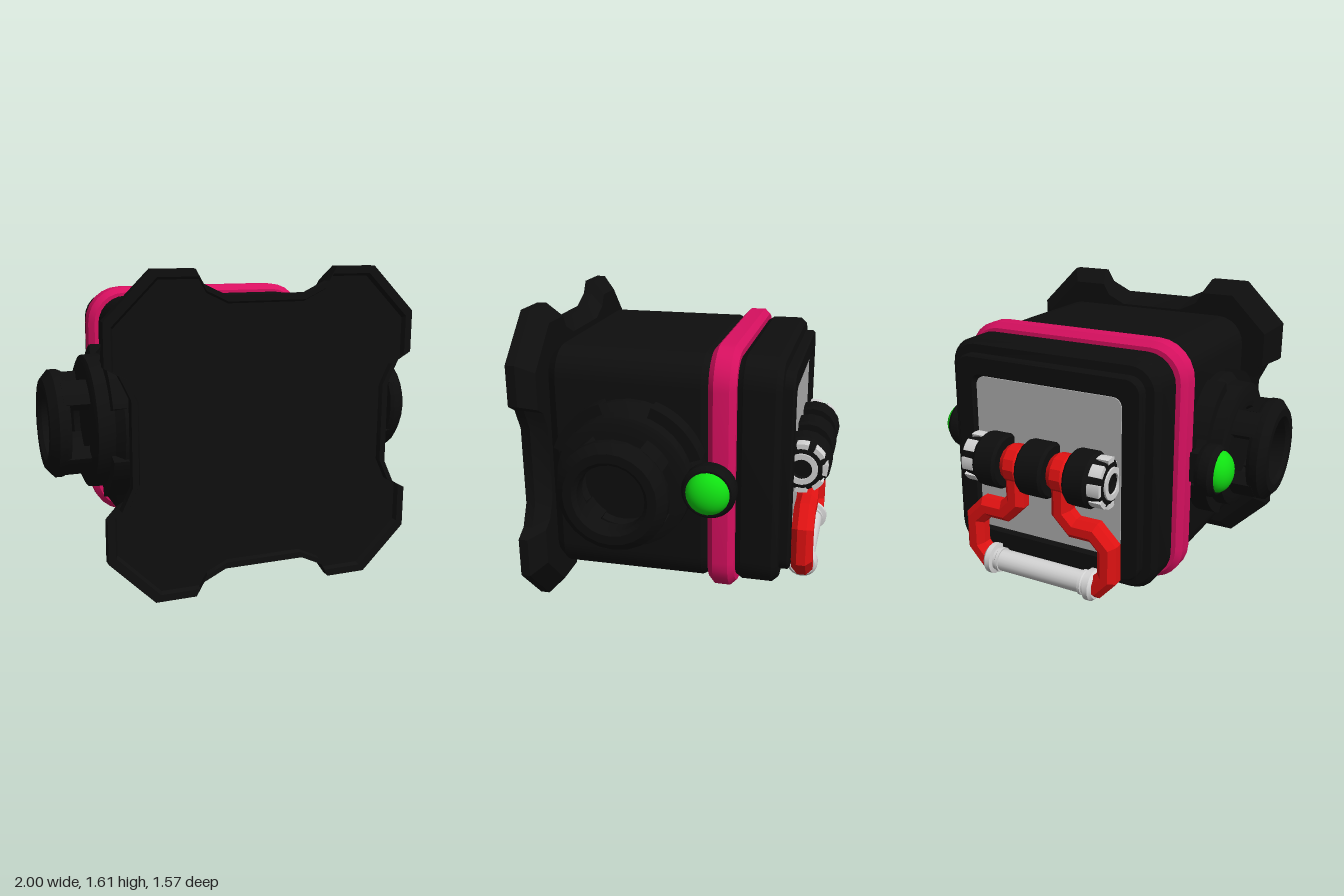
import * as THREE from 'three';
import { toCreasedNormals } from 'three/addons/utils/BufferGeometryUtils.js';

const CY = 0.807; // height of the body axis
const mat = (name, color, side = THREE.FrontSide) => {
  const m = new THREE.MeshStandardMaterial({ color, side });
  m.name = name;
  return m;
};
const V2 = (x, y) => new THREE.Vector2(x, y);
const V3 = (x, y, z) => new THREE.Vector3(x, y, z);

// Skin through equal-length rings, with caps triangulated from a 2D outline
function loft(rings, outline) {
  const n = outline.length, pos = [], idx = [];
  rings.forEach(r => r.forEach(p => pos.push(p.x, p.y, p.z)));
  for (let i = 0; i < rings.length - 1; i++) {
    for (let j = 0; j < n; j++) {
      const a = i * n + j, b = i * n + (j + 1) % n;
      idx.push(a, b, b + n, a, b + n, a + n);
    }
  }
  const last = (rings.length - 1) * n;
  for (const [a, b, c] of THREE.ShapeUtils.triangulateShape(outline.slice(), [])) {
    idx.push(a, c, b, last + a, last + b, last + c);
  }
  const g = new THREE.BufferGeometry();
  g.setAttribute('position', new THREE.Float32BufferAttribute(pos, 3));
  g.setIndex(idx);
  return toCreasedNormals(g, 0.45);
}

// Rounded square outline, counter-clockwise
function roundSquare(half, r, steps = 6) {
  const pts = [];
  for (let q = 0; q < 4; q++) {
    const cx = (half - r) * (q === 0 || q === 3 ? 1 : -1);
    const cy = (half - r) * (q < 2 ? 1 : -1);
    for (let i = 0; i <= steps; i++) {
      const a = (q + i / steps) * Math.PI / 2;
      pts.push(V2(cx + r * Math.cos(a), cy + r * Math.sin(a)));
    }
  }
  return pts;
}

// Rounded square stack: profile of [half width, z], from back to front
function squareStack(profile, inner = 0.46) {
  const rings = profile.map(([h, z]) =>
    roundSquare(h, Math.max(0.05, h - inner)).map(p => V3(p.x, p.y, z)));
  return loft(rings, roundSquare(0.6, 0.14));
}

const lathe = (pts, segs = 32) =>
  toCreasedNormals(new THREE.LatheGeometry(pts.map(p => V2(...p)), segs), 0.5);

// Arc block around the y axis, from y0 to y1
function arcBlock(r0, r1, mid, halfAngle, y0, y1) {
  const s = new THREE.Shape();
  s.absarc(0, 0, r1, mid - halfAngle, mid + halfAngle, false);
  s.absarc(0, 0, r0, mid + halfAngle, mid - halfAngle, true);
  const g = new THREE.ExtrudeGeometry(s, { depth: y1 - y0, bevelEnabled: false, curveSegments: 8 });
  return g.rotateX(-Math.PI / 2).translate(0, y0, 0);
}

// Mitred sweep of an octagon along a path of [x, y] at constant z
function sweep(path, z, w, d) {
  const oct = [];
  for (let i = 0; i < 8; i++) {
    const a = (i + 0.5) * Math.PI / 4, k = 1 / Math.cos(Math.PI / 8);
    oct.push(V2(Math.cos(a) * w * k, Math.sin(a) * d * k));
  }
  const pts = path.map(p => V2(...p));
  const dir = i => pts[i + 1].clone().sub(pts[i]).normalize();
  const rings = pts.map((p, i) => {
    const a = dir(Math.max(0, i - 1)), b = dir(Math.min(pts.length - 2, i));
    const t = a.clone().add(b).normalize(), k = 1 / t.dot(a);
    return oct.map(o => V3(p.x - t.y * o.x * k, p.y + t.x * o.x * k, z + o.y));
  });
  return loft(rings, oct);
}

export function createModel() {
  const black = mat('black', 0x0e0e0e);
  const pink = mat('pink', 0xd81060);
  const red = mat('red', 0xe01212);
  const green = mat('green', 0x10e012);
  const silver = mat('light grey', 0xd4d4d4);
  const grey = mat('panel grey', 0xb0b0b0);

  const root = new THREE.Group();
  const add = (parent, name, geo, m, x = 0, y = 0, z = 0) => {
    const mesh = new THREE.Mesh(geo, m);
    mesh.name = name;
    mesh.position.set(x, y, z);
    parent.add(mesh);
    return mesh;
  };

  // Main case, lid, band and recessed back panel
  add(root, 'case', squareStack([
    [0.59, -0.2], [0.6, -0.18], [0.617, -0.15], [0.617, 0.61], [0.57, 0.665]]), black, 0, CY);
  add(root, 'lid', squareStack([
    [0.43, -0.575], [0.445, -0.605], [0.535, -0.605], [0.545, -0.595], [0.545, -0.553],
    [0.59, -0.55], [0.617, -0.52], [0.617, -0.36], [0.6, -0.335], [0.59, -0.3]]), black, 0, CY);
  add(root, 'band', squareStack([
    [0.59, -0.33], [0.63, -0.33], [0.66, -0.3], [0.66, -0.22], [0.63, -0.19], [0.59, -0.19]]), pink, 0, CY);
  add(root, 'backPanel', squareStack([[0.43, -0.582], [0.43, -0.574]], 0.38), grey, 0, CY);

  // Notched front plate, one quarter turned four times
  const quarter = [[0.68, 0.21], [0.735, 0.325], [0.805, 0.365], [0.805, 0.575],
    [0.575, 0.805], [0.365, 0.805], [0.325, 0.735], [0.21, 0.68]];
  const outline = [];
  for (let q = 0; q < 4; q++) {
    quarter.forEach(p => outline.push(V2(...p).rotateAround(V2(0, 0), q * Math.PI / 2)));
  }
  const plateRings = [[0.91, 0.66], [1, 0.735], [1, 0.785], [0.955, 0.785], [0.94, 0.765]]
    .map(([s, z]) => outline.map(p => V3(p.x * s, p.y * s, z)));
  add(root, 'frontPlate', loft(plateRings, outline), black, 0, CY);

  // Side hubs and lamps, built along y and turned outwards
  for (const s of [1, -1]) {
    const hub = new THREE.Group();
    hub.name = s > 0 ? 'leftHub' : 'rightHub';
    hub.position.set(0, CY, 0.21);
    hub.rotation.z = -s * Math.PI / 2;
    root.add(hub);
    add(hub, 'hubBase', lathe([[0, 0.58], [0.39, 0.58], [0.39, 0.66], [0.35, 0.7], [0.345, 0.785],
      [0.31, 0.8], [0.22, 0.8], [0.2, 0.77], [0, 0.77]]), black);
    add(hub, 'hubRing', lathe([[0.17, 0.9], [0.27, 0.9], [0.28, 0.92], [0.28, 0.96], [0.235, 1],
      [0.19, 1], [0.17, 0.98], [0.17, 0.9]], 24), black);
    for (let i = 0; i < 4; i++) {
      const a = Math.PI / 4 + i * Math.PI / 2;
      add(hub, 'hubProng', arcBlock(0.19, 0.28, a, 0.27, 0.76, 0.93), black);
      add(hub, 'hubRim', arcBlock(0.33, 0.405, a, 0.45, 0.6, 0.72), black);
    }
    add(hub, 'lampArm', new THREE.BoxGeometry(0.16, 0.11, 0.24), black, 0, 0.715, -0.34);
    add(hub, 'lampMount', lathe([[0, 0.725], [0.125, 0.725], [0.138, 0.75], [0.138, 0.8],
      [0.12, 0.825], [0, 0.825]], 24), black, 0, 0, -0.44);
    const dome = new THREE.SphereGeometry(0.112, 24, 10, 0, Math.PI * 2, 0, Math.PI / 2);
    add(hub, 'lamp', dome.scale(1, 0.72, 1), green, 0, 0.81, -0.44);
  }

  // Hinge barrels across the back
  const hinge = new THREE.Group();
  hinge.name = 'hinge';
  hinge.position.set(0, 0.812, -0.64);
  root.add(hinge);
  const middle = add(hinge, 'middleBarrel', lathe([[0, -0.08], [0.135, -0.08], [0.148, -0.065],
    [0.148, 0.065], [0.135, 0.08], [0, 0.08]], 16), black);
  middle.rotation.z = Math.PI / 2;
  for (const s of [1, -1]) {
    const end = new THREE.Group();
    end.name = s > 0 ? 'leftBarrel' : 'rightBarrel';
    end.rotation.z = -s * Math.PI / 2;
    hinge.add(end);
    add(end, 'barrel', lathe([[0, 0.2], [0.135, 0.2], [0.148, 0.215], [0.148, 0.32], [0.13, 0.345],
      [0.12, 0.4], [0.095, 0.41], [0.055, 0.41], [0.05, 0.39], [0, 0.39]], 16), black);
    add(end, 'barrelRing', lathe([[0.055, 0.4], [0.085, 0.4], [0.085, 0.42], [0.055, 0.42],
      [0.055, 0.4]], 24), silver);
    for (let i = 0; i < 8; i++) {
      add(end, 'barrelMark', arcBlock(0.108, 0.134, i * Math.PI / 4, 0.25, 0.34, 0.408), silver);
    }
    add(end, 'pivot', lathe([[0, 0.08], [0.09, 0.08], [0.108, 0.11], [0.108, 0.17],
      [0.09, 0.2], [0, 0.2]], 12), red);
    // Bent handle arm
    const path = [[0.14, 0.8], [0.14, 0.61], [0.21, 0.54], [0.33, 0.54], [0.405, 0.465],
      [0.405, 0.3], [0.34, 0.228], [0.3, 0.228]].map(([x, y]) => [x * s, y]);
    add(root, 'handleArm', sweep(path, -0.66, 0.055, 0.058), red);
  }

  // Grip bar with stepped collars
  const half = [[0.06, 0.25], [0.068, 0.25], [0.068, 0.265], [0.062, 0.27], [0.062, 0.285],
    [0.085, 0.29], [0.085, 0.32], [0.07, 0.335], [0, 0.335]];
  const grip = [...half.map(([r, y]) => [r, -y]).reverse(), ...half];
  add(root, 'grip', lathe(grip, 20), silver, 0, 0.226, -0.657).rotation.z = Math.PI / 2;

  return root;
}
